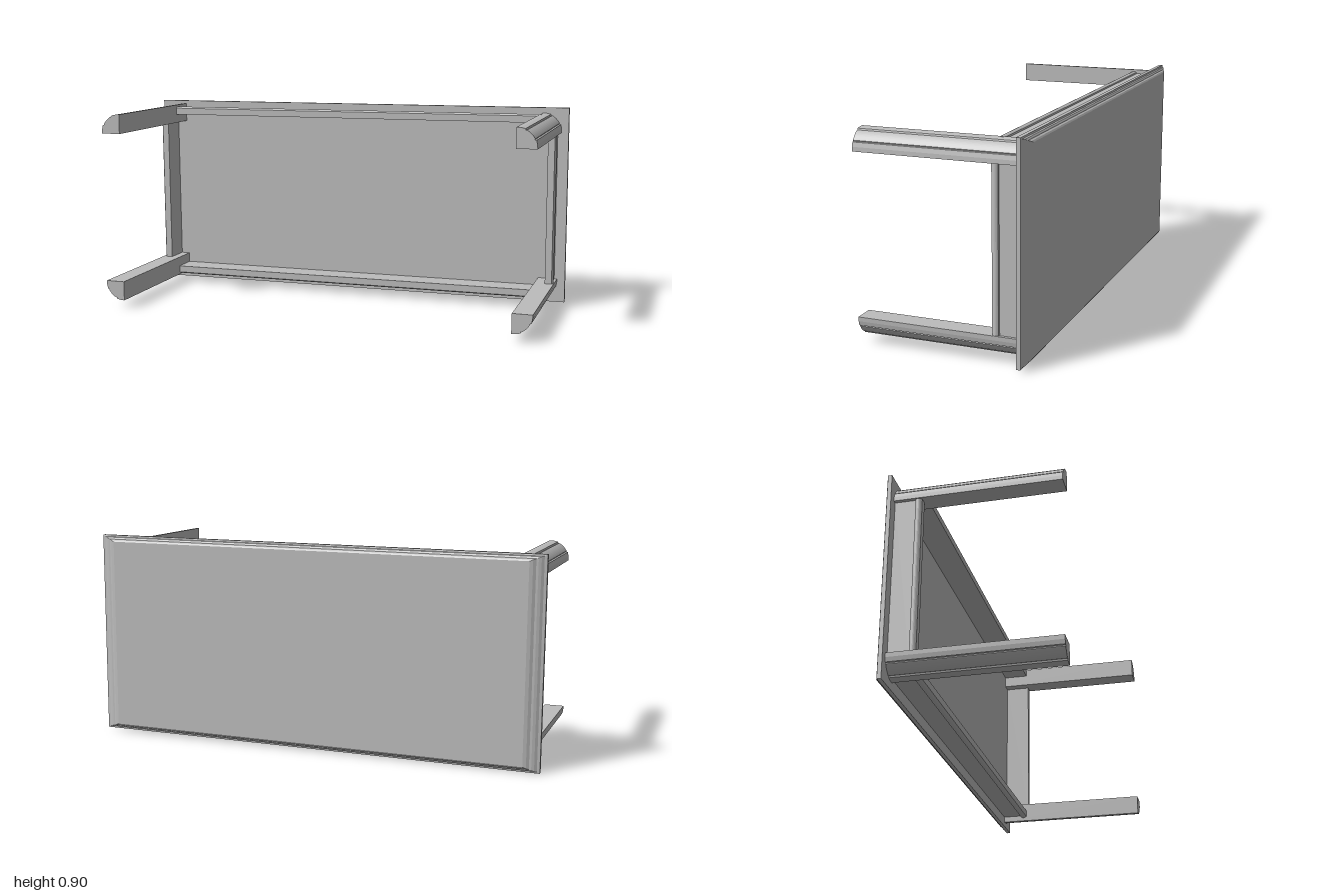
import * as THREE from 'three';

const stone = new THREE.MeshStandardMaterial({ color: 0xbcbcbc });
stone.name = 'plain grey';

function part(name, geometry, parent) {
  const mesh = new THREE.Mesh(geometry, stone);
  mesh.name = name;
  parent.add(mesh);
  return mesh;
}

// Rectangular loft: each ring is [half width, half height, z], running from front to back.
function rectangularLoft(rings) {
  const positions = [];
  const corners = rings.map(([w, h, z]) => [[-w, -h, z], [w, -h, z], [w, h, z], [-w, h, z]]);
  const quad = (a, b, c, d) => positions.push(...a, ...b, ...c, ...a, ...c, ...d);
  quad(...corners[0]);
  for (let i = 0; i < corners.length - 1; i++) {
    for (let k = 0; k < 4; k++) {
      const n = (k + 1) % 4;
      quad(corners[i][n], corners[i][k], corners[i + 1][k], corners[i + 1][n]);
    }
  }
  const last = corners[corners.length - 1];
  quad(last[3], last[2], last[1], last[0]);
  const geometry = new THREE.BufferGeometry();
  geometry.setAttribute('position', new THREE.Float32BufferAttribute(positions, 3));
  geometry.computeVertexNormals();
  return geometry;
}

// Leg section: square inner corner at the origin, moulded quarter round towards (sx, sy).
function legGeometry(sx, sy) {
  const points = [[0, 0], [0.086, 0], [0.085, 0.018], [0.081, 0.036], [0.074, 0.038]];
  for (let i = 0; i <= 8; i++) {
    const a = THREE.MathUtils.degToRad(29 + i * 4);
    points.push([0.086 * Math.cos(a), 0.086 * Math.sin(a)]);
  }
  points.push([0.038, 0.074], [0.036, 0.081], [0.018, 0.085], [0, 0.086]);
  const shape = new THREE.Shape(points.map(([x, y]) => new THREE.Vector2(x * sx, y * sy)));
  return new THREE.ExtrudeGeometry(shape, { depth: 0.682, bevelEnabled: false });
}

// Apron section: u points outwards, v runs from the tabletop to the free edge.
function apronGeometry(length) {
  const shape = new THREE.Shape();
  shape.moveTo(0, 0);
  shape.lineTo(0.026, 0);
  shape.lineTo(0.026, 0.085);
  shape.lineTo(0.032, 0.087);
  shape.quadraticCurveTo(0.042, 0.099, 0.032, 0.111);
  shape.lineTo(0.03, 0.114);
  shape.lineTo(0, 0.114);
  shape.closePath();
  const geometry = new THREE.ExtrudeGeometry(shape, { depth: length, bevelEnabled: false, curveSegments: 6 });
  geometry.translate(0, 0, -length / 2);
  // Outward becomes +y, the section height becomes +z, the length becomes x.
  geometry.applyMatrix4(new THREE.Matrix4().makeBasis(
    new THREE.Vector3(0, 1, 0), new THREE.Vector3(0, 0, 1), new THREE.Vector3(1, 0, 0)));
  return geometry;
}

export function createModel() {
  const table = new THREE.Group();
  table.name = 'table on its side';

  // Top and aprons sit very slightly askew to the legs
  const body = new THREE.Group();
  body.name = 'topAndAprons';
  body.position.y = 0.45;
  body.rotation.z = 0.006;
  table.add(body);

  // Tabletop with a stepped, moulded rear edge
  part('tabletop', rectangularLoft([
    [0.997, 0.443, -0.32], [0.997, 0.443, -0.337],
    [0.985, 0.436, -0.339], [0.975, 0.434, -0.346], [0.964, 0.429, -0.35],
    [0.955, 0.426, -0.351], [0.944, 0.422, -0.358], [0.93, 0.416, -0.362],
  ]), body);

  // Long and short aprons: [name, length, x, y, rotation]
  const aprons = [
    ['upperApron', 1.78, 0, 0.384, 0],
    ['lowerApron', 1.78, 0, -0.369, Math.PI],
    ['rightApron', 0.69, -0.92, 0.004, Math.PI / 2],
    ['leftApron', 0.69, 0.923, 0.004, -Math.PI / 2],
  ];
  for (const [name, length, x, y, turn] of aprons) {
    const apron = part(name, apronGeometry(length), body);
    apron.position.set(x, y, -0.32);
    apron.rotation.z = turn;
  }

  // Four moulded legs pointing forwards
  for (const sx of [-1, 1]) {
    for (const sy of [-1, 1]) {
      const name = (sy > 0 ? 'upper' : 'lower') + (sx > 0 ? 'Left' : 'Right') + 'Leg';
      const leg = part(name, legGeometry(sx, sy), table);
      leg.position.set(sx * 0.878, sy > 0 ? 0.788 : 0.12, -0.32);
    }
  }
  return table;
}
